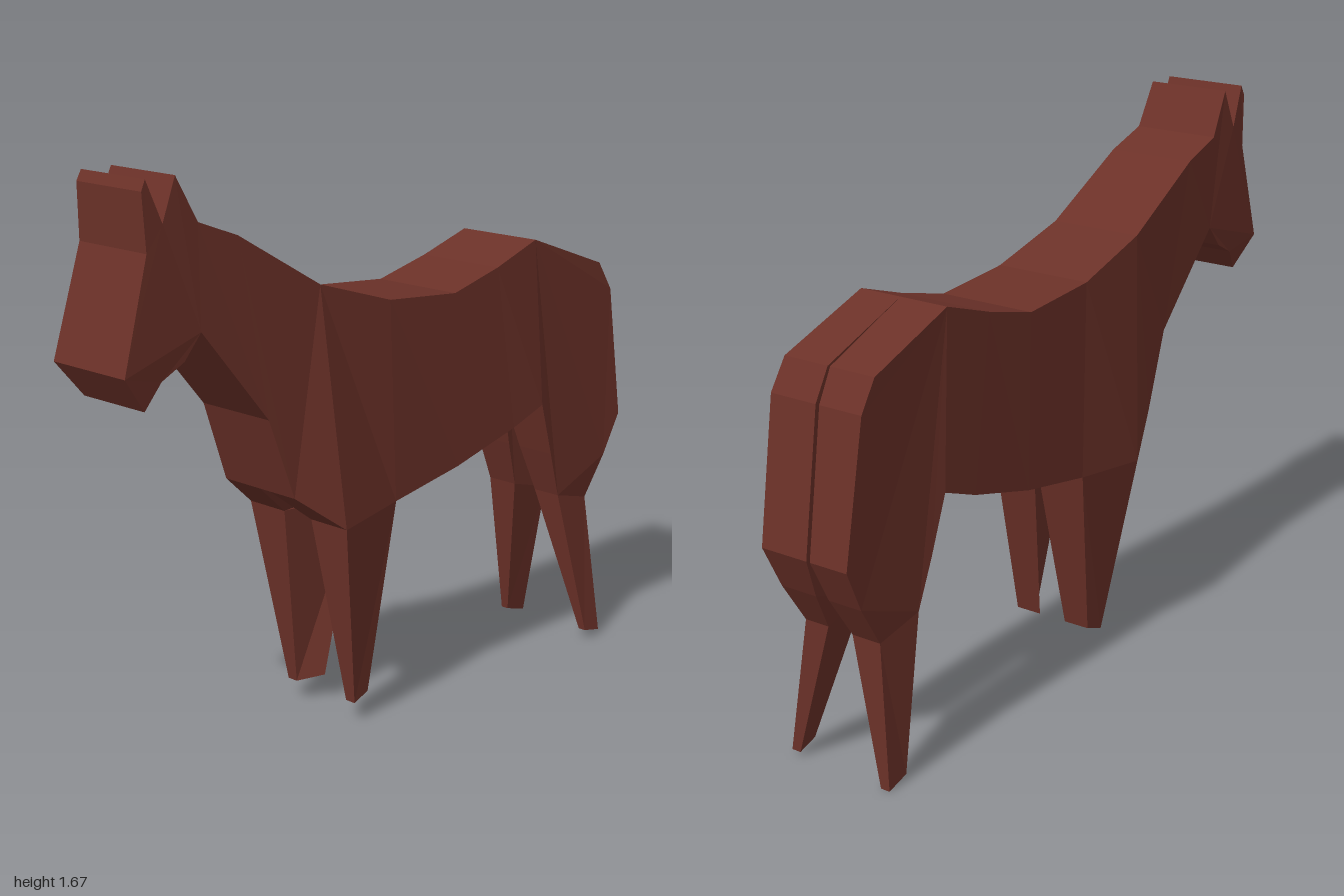
import * as THREE from 'three';

const hide = new THREE.MeshStandardMaterial({ color: 0x6b3128, flatShading: true });

function toMesh(name, tris) {
  const geo = new THREE.BufferGeometry();
  geo.setAttribute('position', new THREE.Float32BufferAttribute(tris.flat(), 3));
  geo.computeVertexNormals();
  const mesh = new THREE.Mesh(geo, hide);
  mesh.name = name;
  return mesh;
}

// Side outline given as [z, y, xRight, xLeft], filled on both sides and closed by a rim
function slab(name, outline) {
  let pts = outline;
  const flat = (list) => list.map(([z, y]) => new THREE.Vector2(z, y));
  if (THREE.ShapeUtils.isClockWise(flat(pts))) pts = [...pts].reverse();
  const R = pts.map(([z, y, r]) => [r, y, z]);
  const L = pts.map(([z, y, , l]) => [l, y, z]);
  const contour = flat(pts);
  const tris = [];
  for (const face of THREE.ShapeUtils.triangulateShape(contour, [])) {
    let [a, b, c] = face;
    if (THREE.ShapeUtils.area([contour[a], contour[b], contour[c]]) < 0) [b, c] = [c, b];
    tris.push(R[a], R[b], R[c], L[a], L[c], L[b]);
  }
  pts.forEach((_, i) => {
    const j = (i + 1) % pts.length;
    tris.push(R[i], L[i], L[j], R[i], L[j], R[j]);
  });
  return toMesh(name, tris);
}

// Barrel, neck and chest: sections of [top z, y, xR, xL], [bottom z, y, xR, xL], notch height
function torso() {
  const sections = [
    [[0.72, 1.54, -0.2, 0.07], [0.73, 1.25, -0.19, 0.085], 0],
    [[0.59, 1.49, -0.195, 0.08], [0.51, 0.97, -0.165, 0.105], 0],
    [[0.31, 1.32, -0.185, 0.105], [0.43, 0.73, -0.165, 0.12], 0],
    [[0.31, 1.32, -0.185, 0.105], [0.29, 0.62, -0.215, 0.185], 0.1],
    [[0.05, 1.24, -0.18, 0.125], [0.04, 0.64, -0.18, 0.14], 0],
    [[-0.22, 1.22, -0.175, 0.13], [-0.23, 0.69, -0.175, 0.14], 0],
    [[-0.41, 1.27, -0.17, 0.13], [-0.48, 0.76, -0.17, 0.145], 0],
    [[-0.59, 1.33, -0.165, 0.125], [-0.61, 0.81, -0.165, 0.15], 0],
  ];
  const rings = sections.map(([t, b, notch]) => {
    const under = [0, 0.36, 0.5, 0.64, 1].map((f) =>
      [b[2] + (b[3] - b[2]) * f, b[1] + (f === 0.5 ? notch : 0), b[0]]);
    return [[t[3], t[1], t[0]], [t[2], t[1], t[0]], ...under];
  });
  const tris = [];
  for (let s = 0; s < rings.length - 1; s++) {
    const a = rings[s], b = rings[s + 1];
    a.forEach((_, k) => {
      const n = (k + 1) % a.length;
      tris.push(a[k], b[k], a[n], a[n], b[k], b[n]);
    });
  }
  return toMesh('torso', tris);
}

// Haunch and hind leg; rows of [z, y, outer x, inner x] are ordered by side
function hindLeg(name, side, rows) {
  return slab(name, rows.map(([z, y, outer, inner]) =>
    side < 0 ? [z, y, outer, inner] : [z, y, inner, outer]));
}

export function createModel() {
  const group = new THREE.Group();
  group.name = 'horse';

  group.add(torso());

  // Head with two ear ridges running across it
  group.add(slab('head', [
    [0.72, 1.54, -0.2, 0.07], [0.79, 1.67, -0.195, 0.065], [0.84, 1.55, -0.2, 0.07],
    [0.89, 1.67, -0.195, 0.065], [0.905, 1.64, -0.197, 0.067], [0.9, 1.48, -0.2, 0.075],
    [1.0, 1.17, -0.2, 0.095], [0.93, 1.07, -0.165, 0.085], [0.87, 1.14, -0.185, 0.085],
    [0.79, 1.18, -0.19, 0.085], [0.73, 1.25, -0.19, 0.085],
  ]));

  // Tapering front legs
  group.add(slab('rightFrontLeg', [
    [0.29, 0.62, -0.215, -0.071], [0.22, 0.06, -0.135, -0.1],
    [0.16, 0.08, -0.125, -0.04], [0.04, 0.64, -0.18, -0.015],
  ]));
  group.add(slab('leftFrontLeg', [
    [0.29, 0.62, 0.041, 0.185], [0.22, 0.06, 0.11, 0.145],
    [0.16, 0.08, 0.055, 0.14], [0.04, 0.64, -0.005, 0.14],
  ]));

  // Hind quarters, parted by a narrow slit at the back
  group.add(hindLeg('rightHindLeg', -1, [
    [-0.59, 1.33, -0.165, -0.01], [-0.89, 1.22, -0.16, -0.014], [-0.94, 1.13, -0.155, -0.016],
    [-1.0, 0.71, -0.14, -0.016], [-0.94, 0.58, -0.135, -0.025], [-0.86, 0.45, -0.13, -0.035],
    [-0.855, 0.0, -0.145, -0.115], [-0.78, 0.02, -0.145, -0.12], [-0.71, 0.49, -0.145, -0.04],
    [-0.66, 0.64, -0.155, -0.025], [-0.61, 0.81, -0.165, -0.01],
  ]));
  group.add(hindLeg('leftHindLeg', 1, [
    [-0.59, 1.33, 0.125, -0.01], [-0.89, 1.22, 0.14, -0.006], [-0.94, 1.13, 0.148, -0.004],
    [-1.0, 0.71, 0.15, -0.004], [-0.94, 0.58, 0.14, 0.02], [-0.86, 0.45, 0.13, 0.05],
    [-0.85, 0.015, 0.21, 0.18], [-0.78, 0.03, 0.21, 0.185], [-0.71, 0.49, 0.14, 0.045],
    [-0.66, 0.64, 0.148, 0.02], [-0.61, 0.81, 0.15, -0.01],
  ]));

  return group;
}
